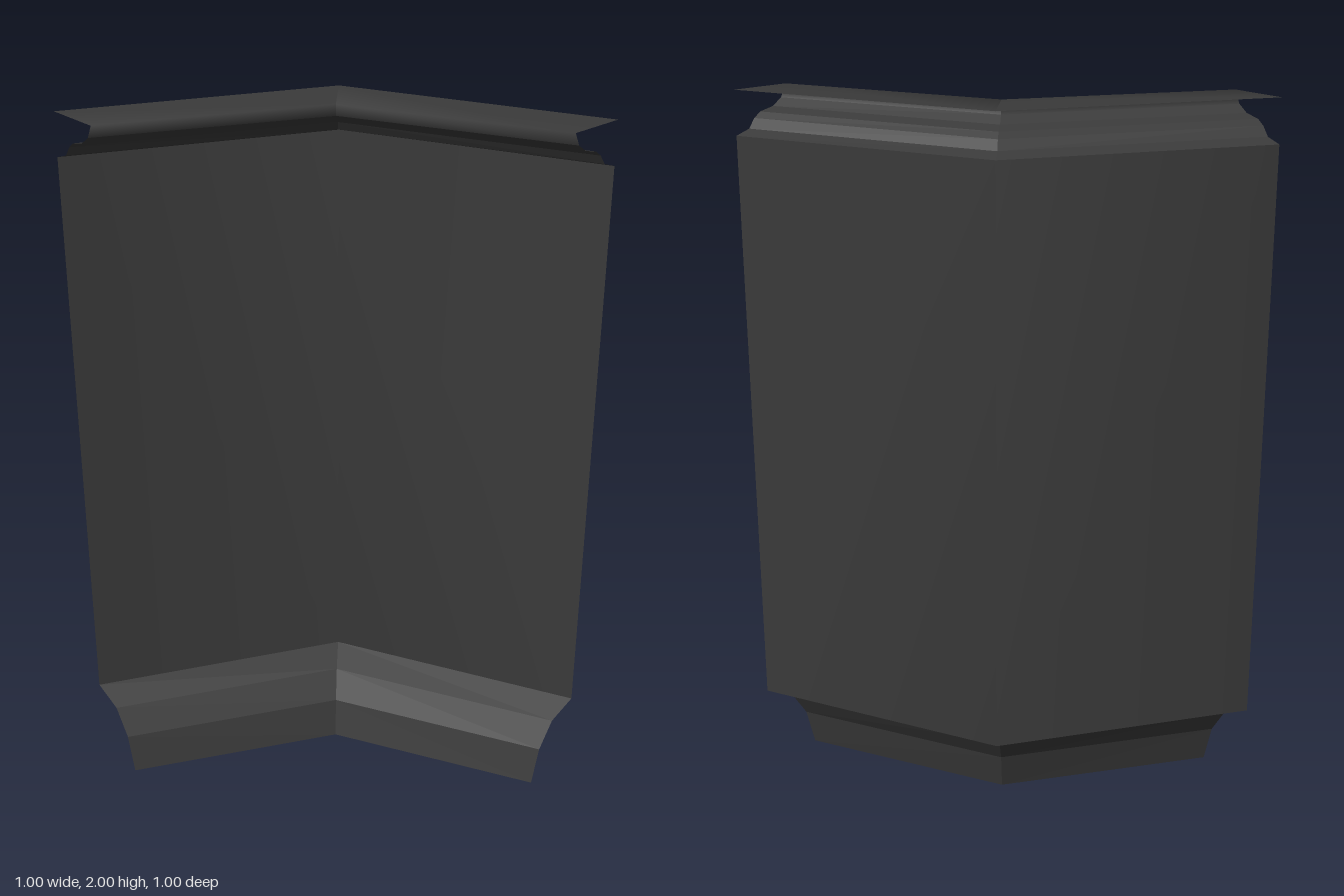
import * as THREE from 'three';

// Plan corners [x, z] of the bent wall: outer line and inner line
const OUTER = [[-0.5, -0.5], [0.185, -0.185], [0.5, 0.5]];
const INNER = [[-0.5, -0.34], [0.065, -0.065], [0.34, 0.5]];

// Sweeps a profile of [t, y] along the plan; t runs from outer (0) to inner (1)
function sweep(profile, corners) {
  const positions = [], index = [], n = corners.length;
  for (const [t, y] of profile) {
    for (const c of corners) {
      positions.push(
        THREE.MathUtils.lerp(OUTER[c][0], INNER[c][0], t), y,
        THREE.MathUtils.lerp(OUTER[c][1], INNER[c][1], t));
    }
  }
  for (let j = 0; j < profile.length - 1; j++) {
    for (let i = 0; i < n - 1; i++) {
      const a = j * n + i, b = a + 1, c = a + n, d = c + 1;
      index.push(a, c, b, b, c, d);
    }
  }
  const geometry = new THREE.BufferGeometry();
  geometry.setAttribute('position', new THREE.Float32BufferAttribute(positions, 3));
  geometry.setIndex(index);
  geometry.computeVertexNormals();
  return geometry;
}

function faceted(geometry) {
  const flat = geometry.toNonIndexed();
  flat.computeVertexNormals();
  return flat;
}

export function createModel() {
  const group = new THREE.Group();
  const charcoal = new THREE.MeshStandardMaterial({ color: 0x3a3a3a, side: THREE.DoubleSide });
  charcoal.name = 'charcoal';

  const add = (name, geometry) => {
    const mesh = new THREE.Mesh(geometry, charcoal);
    mesh.name = name;
    group.add(mesh);
  };

  // Tall wall, shaded smoothly around its corner
  add('wallPanel', sweep([[0, 0.23], [0, 1.88]], [0, 1, 2]));

  const skirt = [[1, 0], [0.83, 0.11], [0.52, 0.19], [0, 0.23]];
  const cornice = [[0, 1.88], [0.25, 1.894], [0.36, 1.92], [0.48, 1.935], [0.73, 1.945], [0.9, 1.965]];
  const cap = [[0.9, 1.965], [1, 2], [0, 2]];

  // Mouldings, one run for each leg, mitred at the corner
  [['back', [0, 1]], ['side', [1, 2]]].forEach(([leg, corners]) => {
    add(leg + 'Skirt', faceted(sweep(skirt, corners)));
    add(leg + 'Cornice', faceted(sweep(cornice, corners)));
    // Flat ledge folding back out over the cornice
    add(leg + 'TopLedge', sweep(cap, corners));
  });

  return group;
}
